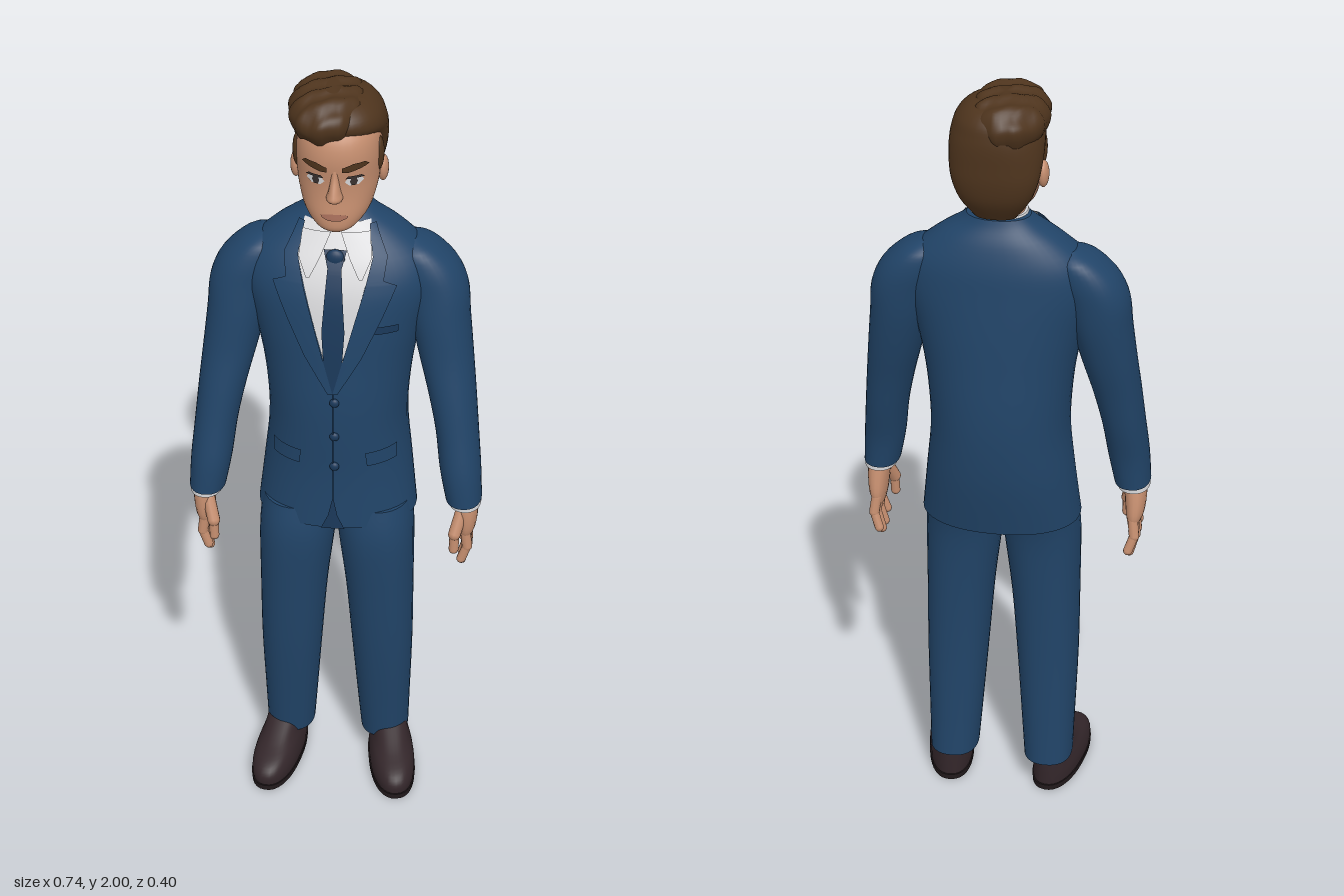
import * as THREE from 'three';

const mat = (name, color, side = THREE.FrontSide) => {
  const m = new THREE.MeshStandardMaterial({ color, side });
  m.name = name;
  return m;
};
const M = {
  suit: mat('suit blue', 0x214468, THREE.DoubleSide),
  tie: mat('tie blue', 0x1a3859, THREE.DoubleSide),
  shirt: mat('shirt white', 0xd9d9db, THREE.DoubleSide),
  skin: mat('skin', 0xc48d6e, THREE.DoubleSide),
  lip: mat('lip', 0xa86f5b, THREE.DoubleSide),
  hair: mat('hair brown', 0x4e341d, THREE.DoubleSide),
  shoe: mat('shoe brown', 0x33262a),
  sole: mat('sole', 0x221a1c),
  iris: mat('iris', 0x3a3230, THREE.DoubleSide),
};

// Sections are [y, cx, cz, rx, rz], bottom to top; refine adds smooth in-between ones
function refine(secs, k = 4) {
  const out = [];
  for (let i = 0; i < secs.length - 1; i++) {
    const [a, b, c, d] = [-1, 0, 1, 2].map(o => secs[Math.min(Math.max(i + o, 0), secs.length - 1)]);
    for (let j = 0; j < k; j++) {
      const t = j / k;
      out.push(b.map((_, n) => 0.5 * (2 * b[n] + (c[n] - a[n]) * t
        + (2 * a[n] - 5 * b[n] + 4 * c[n] - d[n]) * t * t + (3 * b[n] - a[n] - 3 * c[n] + d[n]) * t ** 3)));
    }
  }
  out.push(secs[secs.length - 1]);
  return out;
}

function geometry(pos, idx) {
  const g = new THREE.BufferGeometry();
  g.setAttribute('position', new THREE.Float32BufferAttribute(pos, 3));
  g.setIndex(idx);
  g.computeVertexNormals();
  return g;
}

function add(parent, name, geo, material) {
  const mesh = new THREE.Mesh(geo, material);
  mesh.name = name;
  parent.add(mesh);
  return mesh;
}

// Capped stack of superellipse rings
function loft(secs, n = 2.2, seg = 36) {
  const pos = [], idx = [];
  const ring = ([y, cx, cz, rx, rz]) => {
    for (let i = 0; i < seg; i++) {
      const a = i / seg * Math.PI * 2, c = Math.cos(a), s = Math.sin(a);
      pos.push(cx + rx * Math.sign(c) * Math.abs(c) ** (2 / n), y, cz + rz * Math.sign(s) * Math.abs(s) ** (2 / n));
    }
  };
  secs.forEach(ring);
  for (let j = 0; j < secs.length - 1; j++) for (let i = 0; i < seg; i++) {
    const a = j * seg + i, b = j * seg + (i + 1) % seg;
    idx.push(a, a + seg, b, b, a + seg, b + seg);
  }
  [secs[0], secs[secs.length - 1]].forEach((s, top) => {
    const o = pos.length / 3;
    ring(s);
    pos.push(s[1], s[0], s[2]);
    for (let i = 0; i < seg; i++) {
      const a = o + i, b = o + (i + 1) % seg;
      idx.push(o + seg, top ? b : a, top ? a : b);
    }
  });
  return geometry(pos, idx);
}

// Thin panel laid on the front of a loft; rows are [y, x0, x1], bottom to top
function drape(secs, rows, off, s = 1, n = 2.2) {
  const pos = [], idx = [], C = 8, fine = [];
  rows.forEach((r, i) => {
    if (i) for (let j = 1; j <= 5; j++) fine.push(r.map((v, q) => THREE.MathUtils.lerp(rows[i - 1][q], v, j / 5)));
    else fine.push(r);
  });
  for (const [y, p, q] of fine) {
    const [x0, x1] = s > 0 ? [p, q] : [-q, -p];
    const i = Math.max(1, secs.findIndex(e => e[0] >= y));
    const lo = secs[i - 1], hi = secs[i], t = THREE.MathUtils.clamp((y - lo[0]) / (hi[0] - lo[0]), 0, 1);
    const [, cx, cz, rx, rz] = lo.map((v, k) => THREE.MathUtils.lerp(v, hi[k], t));
    for (let c = 0; c <= C; c++) {
      const x = x0 + (x1 - x0) * c / C, u = Math.min(1, Math.abs((x - cx) / rx));
      pos.push(x, y, cz + rz * (1 - u ** n) ** (1 / n) + off);
    }
  }
  for (let j = 0; j < fine.length - 1; j++) for (let c = 0; c < C; c++) {
    const a = j * (C + 1) + c, b = a + C + 1;
    idx.push(a, a + 1, b, a + 1, b + 1, b);
  }
  return geometry(pos, idx);
}

// Round-ended rod between two points
function rod(parent, name, a, b, r, material) {
  const A = new THREE.Vector3(...a), B = new THREE.Vector3(...b), d = B.clone().sub(A);
  const m = add(parent, name, new THREE.CapsuleGeometry(r, d.length(), 5, 10), material);
  m.position.copy(A).add(B).multiplyScalar(0.5);
  m.quaternion.setFromUnitVectors(new THREE.Vector3(0, 1, 0), d.normalize());
}

function blob(parent, name, p, r, material) {
  const m = add(parent, name, new THREE.SphereGeometry(1, 18, 12), material);
  m.position.set(...p);
  m.scale.set(...r);
}

const torso = refine([
  [0.84, 0, -0.02, 0.203, 0.142], [0.98, 0, -0.036, 0.187, 0.153], [1.1, 0, -0.04, 0.175, 0.16],
  [1.2, 0, -0.04, 0.178, 0.16], [1.3, 0, -0.04, 0.19, 0.153], [1.4, 0, -0.04, 0.212, 0.145],
  [1.5, 0, -0.042, 0.237, 0.132], [1.57, 0, -0.05, 0.222, 0.115], [1.63, 0, -0.058, 0.16, 0.09],
  [1.67, 0, -0.06, 0.1, 0.068], [1.69, 0, -0.065, 0.078, 0.055]]);
const head = refine([
  [1.672, 0, 0.035, 0.028, 0.03], [1.685, 0, 0.018, 0.052, 0.058], [1.715, 0, -0.012, 0.079, 0.088],
  [1.76, 0, -0.033, 0.094, 0.103], [1.8, 0, -0.043, 0.1, 0.112], [1.86, 0, -0.043, 0.102, 0.116],
  [1.91, 0, -0.05, 0.096, 0.11], [1.95, 0, -0.055, 0.07, 0.08]]);

function addJacketAndShirt(g) {
  add(g, 'jacketBody', loft(torso, 2.2, 48), M.suit);
  add(g, 'shirtFront', drape(torso, [[1.26, -0.002, 0.002], [1.4, -0.04, 0.04], [1.5, -0.066, 0.066],
    [1.6, -0.092, 0.092], [1.67, -0.08, 0.08]], 0.005), M.shirt);
  add(g, 'tie', drape(torso, [[1.25, -0.004, 0.004], [1.32, -0.022, 0.022], [1.42, -0.028, 0.028],
    [1.56, -0.018, 0.018], [1.575, -0.017, 0.017], [1.615, -0.028, 0.028]], 0.011), M.tie);
  blob(g, 'tieKnot', [0, 1.592, 0.054], [0.025, 0.025, 0.014], M.tie);
  add(g, 'shirtCollar', loft([[1.6, 0, -0.045, 0.09, 0.08], [1.66, 0, -0.05, 0.084, 0.066],
    [1.695, 0, -0.053, 0.068, 0.058]]), M.shirt);
  for (const s of [1, -1]) {
    add(g, 'collarWing', drape(torso, [[1.555, 0.06, 0.068], [1.6, 0.036, 0.088], [1.655, 0.012, 0.082]], 0.019, s), M.shirt);
    add(g, 'lapel', drape(torso, [[1.25, 0, 0.012], [1.35, 0.026, 0.07], [1.45, 0.052, 0.115], [1.535, 0.075, 0.15],
      [1.548, 0.078, 0.118], [1.6, 0.09, 0.125], [1.665, 0.078, 0.093]], 0.012, s), M.suit);
    add(g, 'pocketFlap', drape(torso, [[1.03, 0.085, 0.155], [1.07, 0.08, 0.155]], 0.008, s), M.suit);
  }
  add(g, 'breastPocket', drape(torso, [[1.41, 0.1, 0.155], [1.43, 0.1, 0.155]], 0.008), M.tie);
  add(g, 'frontOpening', drape(torso, [[0.841, -0.03, 0.03], [0.88, -0.012, 0.012], [0.93, -0.001, 0.002],
    [1.25, -0.001, 0.002]], 0.005), M.tie);
  for (const y of [1.22, 1.12, 1.03]) blob(g, 'jacketButton', [0.004, y, 0.121], [0.012, 0.012, 0.008], M.tie);
}

function addArm(g, s) {
  add(g, 'sleeve', loft(refine([
    [0.915, s * 0.326, 0.05, 0.046, 0.066], [1, s * 0.315, 0.042, 0.052, 0.069], [1.1, s * 0.303, 0.02, 0.054, 0.073],
    [1.2, s * 0.287, 0, 0.06, 0.076], [1.3, s * 0.268, -0.022, 0.068, 0.08], [1.4, s * 0.25, -0.038, 0.075, 0.085],
    [1.48, s * 0.237, -0.048, 0.08, 0.084], [1.54, s * 0.213, -0.053, 0.077, 0.08], [1.585, s * 0.19, -0.056, 0.052, 0.066],
    [1.607, s * 0.175, -0.058, 0.02, 0.03]])), M.suit);
  add(g, 'shirtCuff', loft([[0.9, s * 0.33, 0.05, 0.041, 0.058], [0.925, s * 0.328, 0.05, 0.041, 0.058]]), M.shirt);
  const hand = new THREE.Group();
  hand.name = 'hand';
  g.add(hand);
  add(hand, 'palm', loft(refine([[0.795, s * 0.333, 0.036, 0.014, 0.044], [0.825, s * 0.336, 0.04, 0.023, 0.053],
    [0.87, s * 0.336, 0.045, 0.028, 0.049], [0.92, s * 0.332, 0.048, 0.03, 0.038]]), 2.2, 20), M.skin);
  [[0.076, 0.08, 0.735], [0.05, 0.052, 0.713], [0.023, 0.017, 0.712], [0, -0.018, 0.735]].forEach(([z0, z1, y]) => {
    const mid = [s * 0.34, (0.815 + y) / 2, (z0 + z1) / 2];
    rod(hand, 'fingerBase', [s * 0.335, 0.815, z0], mid, 0.0135, M.skin);
    rod(hand, 'fingerTip', mid, [s * 0.326, y, z1], 0.012, M.skin);
  });
  rod(hand, 'thumbBase', [s * 0.322, 0.875, 0.075], [s * 0.308, 0.825, 0.099], 0.0165, M.skin);
  rod(hand, 'thumbTip', [s * 0.308, 0.825, 0.099], [s * 0.307, 0.78, 0.102], 0.0125, M.skin);
}

function addLeg(g, s) {
  add(g, 'trouserLeg', loft(refine([
    [0.085, s * 0.128, -0.028, 0.064, 0.077], [0.2, s * 0.125, -0.018, 0.07, 0.082], [0.4, s * 0.12, -0.003, 0.08, 0.093],
    [0.6, s * 0.112, 0.004, 0.088, 0.104], [0.78, s * 0.101, 0.004, 0.098, 0.116], [0.88, s * 0.095, -0.015, 0.095, 0.12]]), 2.3), M.suit);
  const shoe = new THREE.Group();
  shoe.name = 'shoe';
  shoe.position.set(s * 0.153, 0, 0.05);
  shoe.rotation.y = s * 0.17;
  g.add(shoe);
  add(shoe, 'shoeUpper', loft(refine([[0.012, 0, 0, 0.059, 0.15], [0.04, 0, 0, 0.06, 0.15], [0.065, 0, -0.012, 0.055, 0.138],
    [0.09, 0, -0.045, 0.047, 0.104], [0.13, 0, -0.085, 0.042, 0.06]]), 2.3), M.shoe);
  add(shoe, 'shoeSole', loft([[0, 0, 0, 0.061, 0.153], [0.016, 0, 0, 0.062, 0.154]], 2.3), M.sole);
  for (const z of [0.03, 0.05, 0.07])
    rod(shoe, 'shoeLace', [-0.016, 0.118 - z * 0.55, z - 0.012], [0.016, 0.118 - z * 0.55, z - 0.012], 0.004, M.sole);
}

function addHead(g) {
  add(g, 'neck', loft([[1.6, 0, -0.05, 0.064, 0.06], [1.76, 0, -0.05, 0.06, 0.06]]), M.skin);
  add(g, 'face', loft(head), M.skin);
  add(g, 'nose', loft(refine([[1.756, 0, 0.066, 0.014, 0.014], [1.768, 0, 0.07, 0.02, 0.03], [1.785, 0, 0.068, 0.015, 0.027],
    [1.815, 0, 0.064, 0.01, 0.015], [1.84, 0, 0.06, 0.01, 0.012]]), 2, 16), M.skin);
  add(g, 'mouth', drape(head, [[1.709, -0.014, 0.014], [1.716, -0.03, 0.03], [1.722, -0.033, 0.033], [1.726, -0.012, 0.012]], 0.003), M.lip);
  for (const s of [1, -1]) {
    add(g, 'eyeWhite', drape(head, [[1.8, 0.034, 0.056], [1.81, 0.024, 0.068], [1.823, 0.034, 0.06]], 0.002, s), M.shirt);
    add(g, 'iris', drape(head, [[1.801, 0.04, 0.05], [1.811, 0.036, 0.054], [1.823, 0.04, 0.05]], 0.004, s), M.iris);
    add(g, 'eyelid', drape(head, [[1.82, 0.026, 0.07], [1.827, 0.032, 0.062]], 0.005, s), M.iris);
    add(g, 'eyebrow', drape(head, [[1.838, 0.018, 0.034], [1.85, 0.018, 0.08], [1.86, 0.045, 0.07]], 0.006, s), M.hair);
    blob(g, 'ear', [s * 0.104, 1.79, -0.05], [0.014, 0.034, 0.022], M.skin);
    blob(g, 'sideburn', [s * 0.096, 1.845, -0.022], [0.013, 0.045, 0.02], M.hair);
  }
  add(g, 'hairCap', loft(refine([[1.7, 0, -0.108, 0.05, 0.028], [1.75, 0, -0.119, 0.085, 0.049], [1.8, 0, -0.119, 0.104, 0.062],
    [1.85, 0, -0.103, 0.112, 0.081], [1.89, 0, -0.085, 0.113, 0.1], [1.92, 0, -0.065, 0.11, 0.117],
    [1.95, 0, -0.062, 0.098, 0.112], [1.975, 0, -0.065, 0.07, 0.085], [1.985, 0, -0.065, 0.03, 0.04]])), M.hair);
  // Swept top with a side parting, rippled into strands
  const sweep = loft(refine([[1.9, -0.03, -0.058, 0.078, 0.115], [1.925, -0.029, -0.056, 0.089, 0.13], [1.95, -0.028, -0.056, 0.09, 0.13],
    [1.975, -0.023, -0.056, 0.078, 0.112], [1.99, -0.018, -0.054, 0.055, 0.08], [1.996, -0.015, -0.052, 0.02, 0.035]], 5), 2.2, 48);
  const p = sweep.attributes.position;
  for (let i = 0; i < p.count; i++) {
    const w = Math.sin(p.getZ(i) * 110 + p.getX(i) * 45);
    p.setXYZ(i, p.getX(i) * (1 + 0.025 * w), p.getY(i) + 0.004 * w, p.getZ(i) + 0.003 * Math.sin(p.getX(i) * 130));
  }
  sweep.computeVertexNormals();
  add(g, 'hairSweep', sweep, M.hair);
}

export function createModel() {
  const g = new THREE.Group();
  g.name = 'suitedMan';
  addJacketAndShirt(g);
  for (const s of [1, -1]) {
    addArm(g, s);
    addLeg(g, s);
  }
  addHead(g);
  return g;
}
